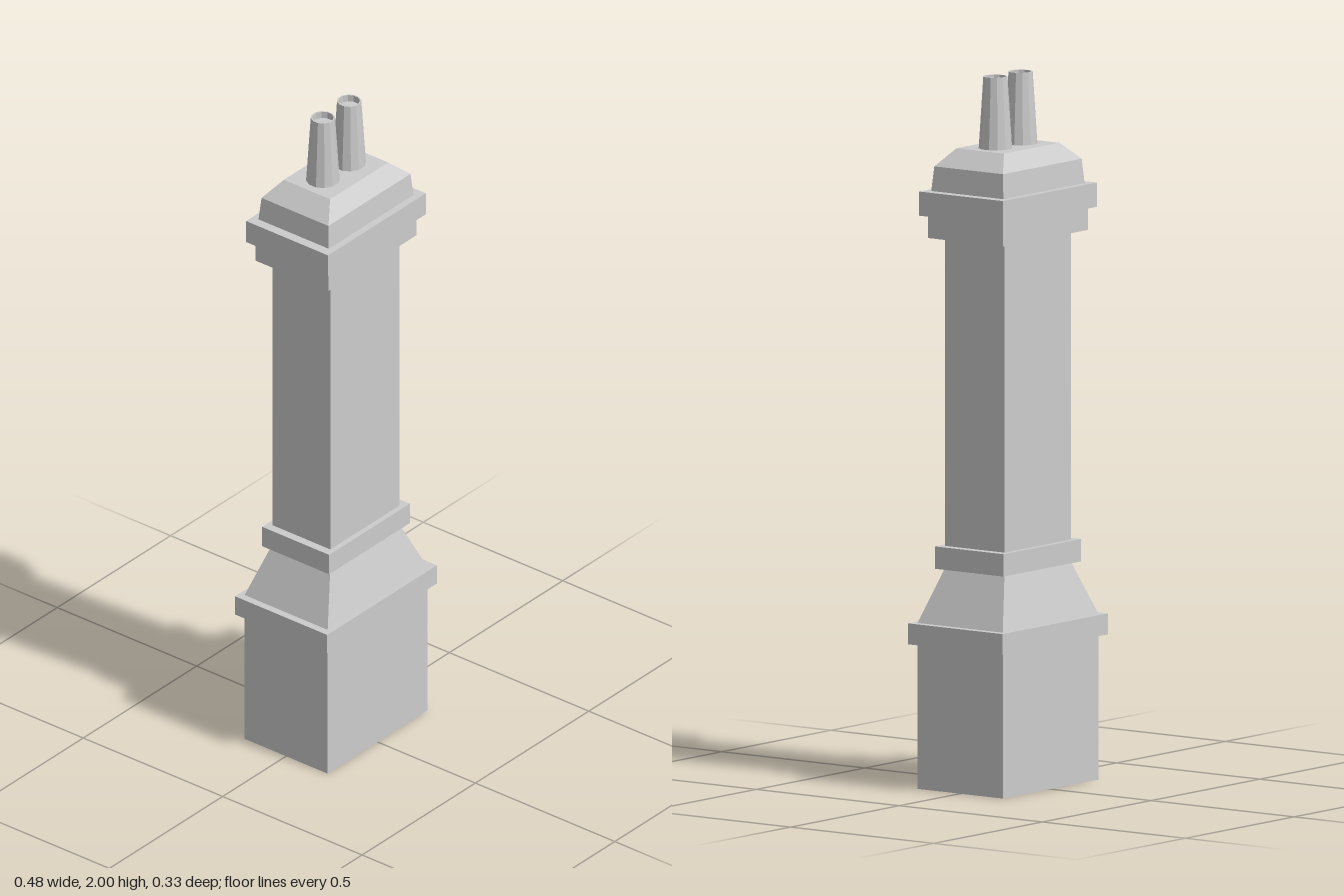
import * as THREE from 'three';

const material = new THREE.MeshStandardMaterial({ color: 0xcccccc, flatShading: true });

// Rectangular block from y0 to y1; the top may taper to its own half sizes
function block(name, y0, y1, halfX, halfZ, topX = halfX, topZ = halfZ) {
  const geo = new THREE.BoxGeometry(2 * halfX, y1 - y0, 2 * halfZ);
  const p = geo.attributes.position;
  for (let i = 0; i < p.count; i++) {
    if (p.getY(i) > 0) p.setXYZ(i, Math.sign(p.getX(i)) * topX, p.getY(i), Math.sign(p.getZ(i)) * topZ);
  }
  geo.computeVertexNormals();
  const mesh = new THREE.Mesh(geo, material);
  mesh.name = name;
  mesh.position.y = (y0 + y1) / 2;
  return mesh;
}

// Tapered pot with a thin rim and a shallow recessed mouth
function pot(name, x) {
  const profile = [[0, 0], [0.047, 0], [0.034, 0.202], [0.03, 0.202], [0.03, 0.182], [0, 0.182]]
    .map(([r, y]) => new THREE.Vector2(r, y));
  const mesh = new THREE.Mesh(new THREE.LatheGeometry(profile, 12), material);
  mesh.name = name;
  mesh.position.set(x, 1.798, 0);
  mesh.rotation.y = Math.PI / 12;
  return mesh;
}

export function createModel() {
  const model = new THREE.Group();
  model.name = 'chimney';
  model.add(
    // Plinth
    block('base', 0, 0.408, 0.22, 0.149),
    block('baseLedge', 0.408, 0.467, 0.242, 0.165),
    block('slopedShoulder', 0.467, 0.617, 0.22, 0.149, 0.153, 0.104),
    // Shaft
    block('shaftRing', 0.617, 0.68, 0.178, 0.12),
    block('shaft', 0.68, 1.549, 0.153, 0.104),
    // Stepped crown
    block('lowerCollar', 1.549, 1.613, 0.195, 0.131),
    block('upperCollar', 1.613, 1.681, 0.216, 0.147),
    block('capWall', 1.681, 1.75, 0.187, 0.126, 0.181, 0.12),
    block('capSlope', 1.75, 1.798, 0.181, 0.12, 0.128, 0.083),
    // Chimney pots
    pot('leftPot', 0.058),
    pot('rightPot', -0.058)
  );
  return model;
}
